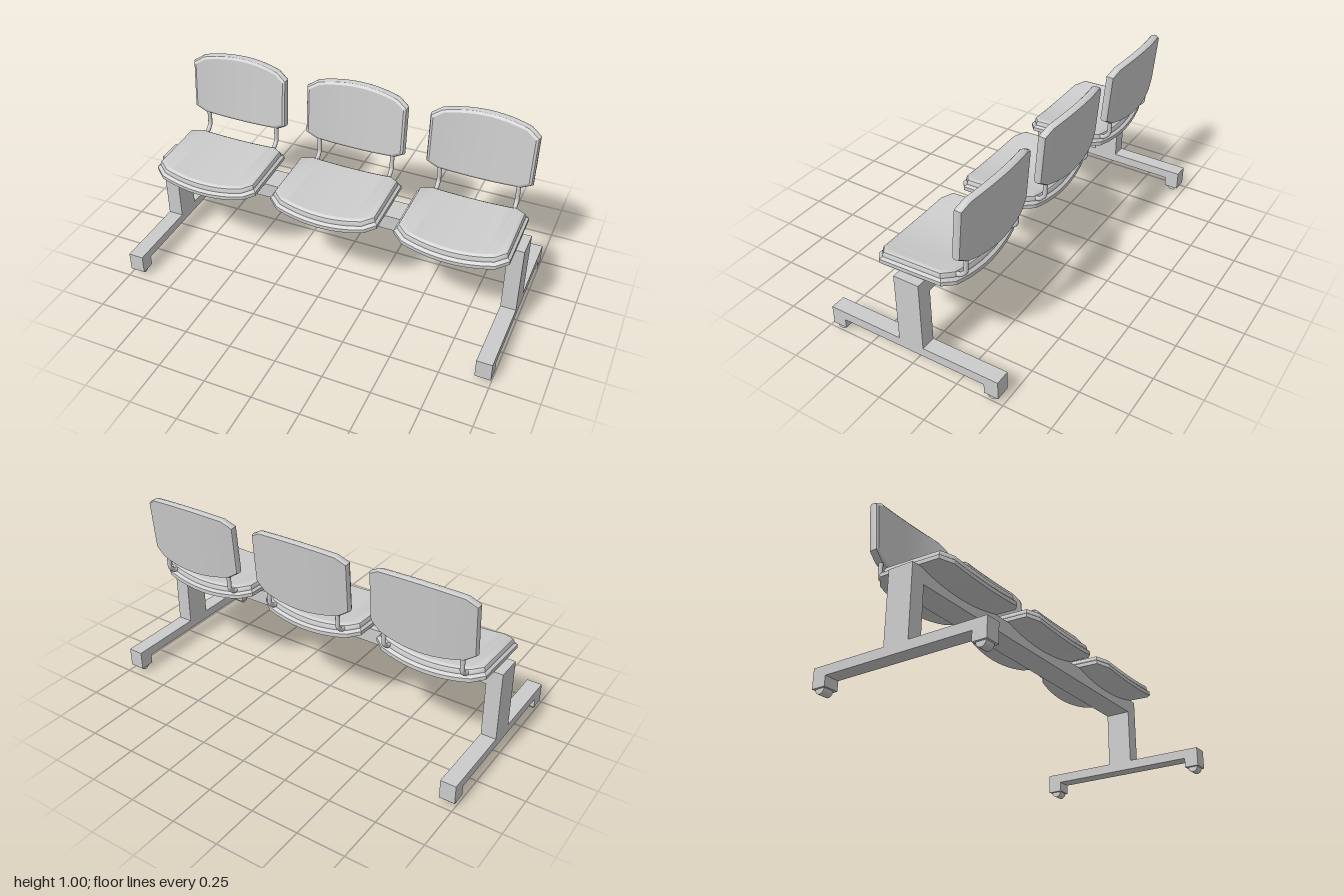
import * as THREE from 'three';
import { toCreasedNormals } from 'three/addons/utils/BufferGeometryUtils.js';

const grey = new THREE.MeshStandardMaterial({ color: 0xcccccc });

function addMesh(parent, name, geometry, x = 0, y = 0, z = 0) {
  const mesh = new THREE.Mesh(geometry, grey);
  mesh.name = name;
  mesh.position.set(x, y, z);
  parent.add(mesh);
  return mesh;
}

// Prism of a closed [x, y] profile, extruded along z and centred on it
function prism(points, depth) {
  const shape = new THREE.Shape(points.map(([x, y]) => new THREE.Vector2(x, y)));
  return new THREE.ExtrudeGeometry(shape, { depth, bevelEnabled: false }).translate(0, 0, -depth / 2);
}

// Curved pad: bowed front and rear edges, cut corners, sides bent upwards.
// layers = [inset, height] from the underside to the top
function padGeometry({ halfWidth, cornerX, mid, corner, side, sag, layers }) {
  const steps = 12;
  const xs = [-halfWidth];
  for (let i = 0; i <= steps; i++) xs.push(cornerX * (2 * i / steps - 1));
  xs.push(halfWidth);
  const edge = x => Math.abs(x) > cornerX + 1e-6 ? side : mid - (mid - corner) * (x / cornerX) ** 2;
  const outline = [...xs.map(x => [x, edge(x)]), ...xs.map(x => [-x, -edge(x)])];
  const n = xs.length, loop = 2 * n;
  const positions = [], index = [];
  const quad = (a, b, c, d) => index.push(a, b, c, a, c, d);

  for (const [inset, height] of layers) {
    for (const [px, pz] of outline) {
      const x = px * (1 - inset / halfWidth);
      positions.push(x, height + sag * (x / halfWidth) ** 2, pz * (1 - inset / mid));
    }
  }
  // Rim
  for (let k = 0; k < layers.length - 1; k++) {
    for (let j = 0; j < loop; j++) {
      const a = k * loop + j, b = k * loop + (j + 1) % loop;
      quad(a, b, b + loop, a + loop);
    }
  }
  // Top and underside, column by column
  const top = (layers.length - 1) * loop;
  for (let i = 0; i < n - 1; i++) {
    const r = loop - 1 - i;
    quad(top + i, top + i + 1, top + r - 1, top + r);
    quad(r, r - 1, i + 1, i);
  }
  const geometry = new THREE.BufferGeometry();
  geometry.setAttribute('position', new THREE.Float32BufferAttribute(positions, 3));
  geometry.setIndex(index);
  return toCreasedNormals(geometry, 0.5);
}

function createChair(seatGeometry, backGeometry, rodGeometry) {
  const chair = new THREE.Group();
  chair.name = 'chair';
  addMesh(chair, 'seat', seatGeometry, 0, 0.465, 0.007).rotation.x = 0.04;
  addMesh(chair, 'backrest', backGeometry, 0, 0.807, -0.302).rotation.x = Math.PI / 2 - 0.0875;
  for (const s of [-1, 1]) addMesh(chair, 'backrestRod', rodGeometry, s * 0.205);
  return chair;
}

export function createModel() {
  const model = new THREE.Group();
  model.name = 'beamSeating';

  // Beam and uprights in one bridge-shaped piece
  addMesh(model, 'beamAndUprights', prism([
    [-1, 0.12], [-0.92, 0.12], [-0.92, 0.42], [0.92, 0.42],
    [0.92, 0.12], [1, 0.12], [1, 0.5], [-1, 0.5],
  ], 0.136));

  // Feet with down-turned ends and round glides
  const footGeometry = prism([
    [-0.475, 0.027], [-0.4, 0.027], [-0.4, 0.078], [0.4, 0.078],
    [0.4, 0.027], [0.475, 0.027], [0.475, 0.127], [-0.475, 0.127],
  ], 0.08).rotateY(Math.PI / 2);
  const glideGeometry = new THREE.CylinderGeometry(0.027, 0.027, 0.055, 20).rotateZ(Math.PI / 2);
  for (const sx of [-1, 1]) {
    addMesh(model, 'foot', footGeometry, sx * 0.96);
    for (const sz of [-1, 1]) addMesh(model, 'glide', glideGeometry, sx * 0.962, 0.027, sz * 0.4375);
  }

  // Seat: shell below, slightly smaller cushion above
  const seatGeometry = padGeometry({
    halfWidth: 0.29, cornerX: 0.235, mid: 0.233, corner: 0.213, side: 0.17, sag: 0.04,
    layers: [[0, 0], [0, 0.02], [0.014, 0.033], [0.014, 0.042], [0.02, 0.057], [0.034, 0.066]],
  });
  const backGeometry = padGeometry({
    halfWidth: 0.275, cornerX: 0.222, mid: 0.19, corner: 0.167, side: 0.132, sag: 0.04,
    layers: [[0.005, 0], [0, 0.01], [0, 0.024], [0.006, 0.038], [0.018, 0.046]],
  });

  // Bent rod from the seat's rear edge up into the backrest
  const rodPath = new THREE.CurvePath();
  const p = [[0.535, -0.17], [0.537, -0.208], [0.566, -0.238], [0.68, -0.242]]
    .map(([y, z]) => new THREE.Vector3(0, y, z));
  const bend = (a, b, t) => a.clone().lerp(b, t);
  const k1 = bend(p[1], p[0], 0.3), k2 = bend(p[1], p[2], 0.3);
  const k3 = bend(p[2], p[1], 0.3), k4 = bend(p[2], p[3], 0.12);
  rodPath.add(new THREE.LineCurve3(p[0], k1));
  rodPath.add(new THREE.QuadraticBezierCurve3(k1, p[1], k2));
  rodPath.add(new THREE.LineCurve3(k2, k3));
  rodPath.add(new THREE.QuadraticBezierCurve3(k3, p[2], k4));
  rodPath.add(new THREE.LineCurve3(k4, p[3]));
  const rodGeometry = new THREE.TubeGeometry(rodPath, 32, 0.0115, 12);

  for (const x of [-0.668, 0, 0.668]) {
    const chair = createChair(seatGeometry, backGeometry, rodGeometry);
    chair.position.x = x;
    model.add(chair);
  }
  return model;
}
